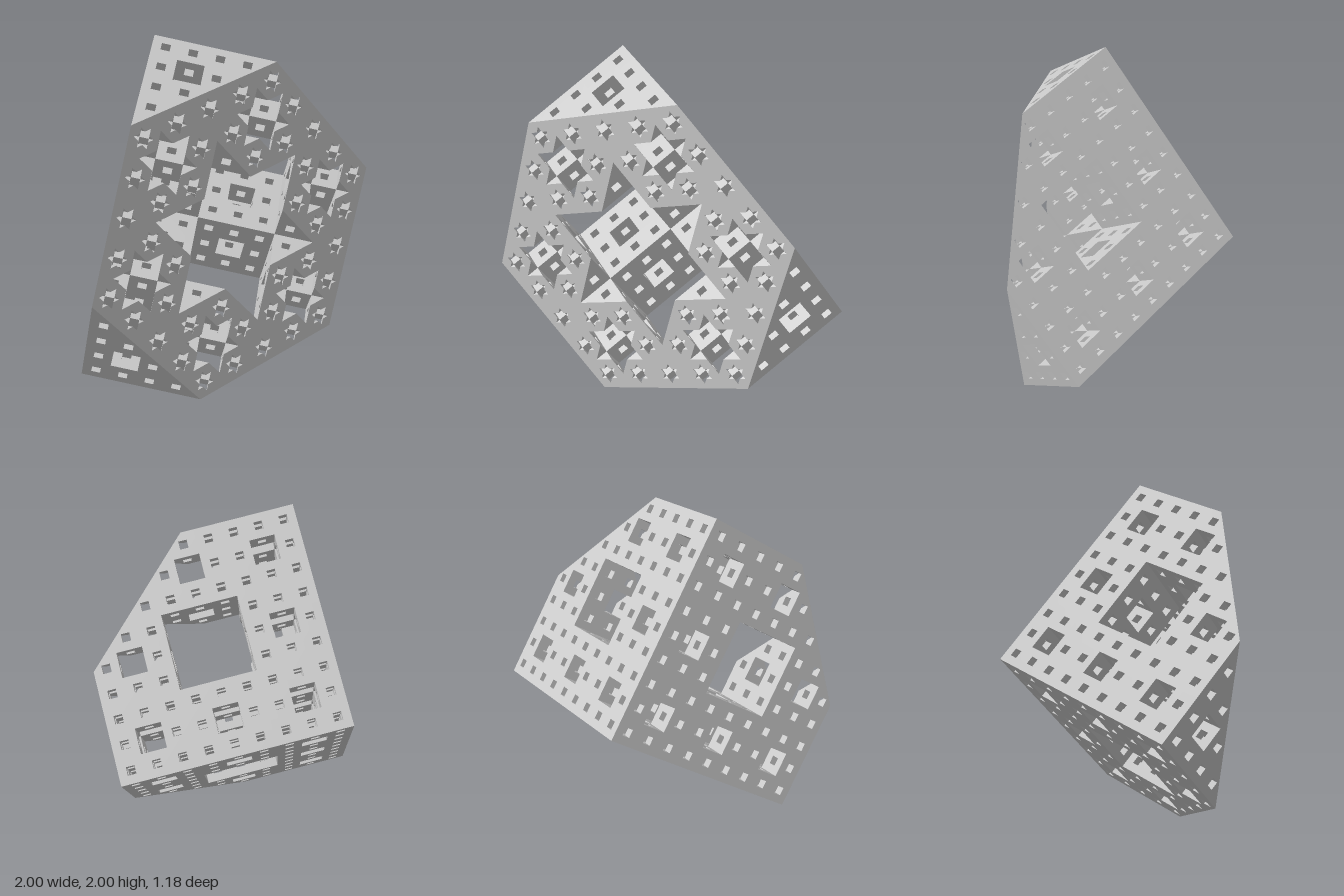
import * as THREE from 'three';

const N = 27;              // cells per cube edge (three subdivision levels)
const CUT = 1.5 * N;       // cells with x + y + z beyond this are sliced away
const EDGE = 2 / ((Math.SQRT1_2 + Math.sqrt(2 / 3)) * Math.cos(Math.PI / 12)); // cube edge length
const HALF_DEPTH = EDGE * Math.sqrt(3) / 4;

// A cell is a hole if, at any level, it is the middle one along two or more axes
function isSolid(cell) {
  if (cell.some((c) => c < 0 || c >= N)) return false;
  for (let s = 1; s < N; s *= 3) {
    if (cell.filter((c) => Math.floor(c / s) % 3 === 1).length > 1) return false;
  }
  return true;
}

// Cube axes spread round the z axis from the rear corner
const axes = [105, 225, 345].map((deg) => {
  const a = THREE.MathUtils.degToRad(deg), r = Math.sqrt(2 / 3);
  return new THREE.Vector3(r * Math.cos(a), r * Math.sin(a), 1 / Math.sqrt(3));
});
const rearCorner = new THREE.Vector3(
  EDGE * Math.SQRT1_2 * Math.cos(Math.PI / 12) - 1,
  EDGE * Math.SQRT1_2 * Math.cos(Math.PI / 12),
  -HALF_DEPTH
);
function toWorld(p) {
  const v = rearCorner.clone();
  axes.forEach((axis, i) => v.addScaledVector(axis, p[i] * EDGE / N));
  return v;
}

const side = (p) => p[0] + p[1] + p[2] - CUT;
function crossing(a, b) {
  const t = side(a) / (side(a) - side(b));
  return a.map((c, i) => c + (b[i] - c) * t);
}

// Keep the part of a polygon behind the slicing plane
function clip(poly) {
  const out = [];
  poly.forEach((a, i) => {
    const b = poly[(i + 1) % poly.length];
    if (side(a) < 0) out.push(a);
    if (side(a) < 0 !== side(b) < 0) out.push(crossing(a, b));
  });
  return out;
}

// One square face of a cell, wound to face outward
function cellFace(cell, d, dir) {
  const u = (d + 1) % 3, v = (d + 2) % 3;
  const quad = [[0, 0], [1, 0], [1, 1], [0, 1]].map(([a, b]) => {
    const p = [...cell];
    p[u] += a;
    p[v] += b;
    if (dir > 0) p[d] += 1;
    return p;
  });
  return dir > 0 ? quad : quad.reverse();
}

// Where the slicing plane passes through a cell, sorted anticlockwise
function cellSection(cell) {
  const pts = [];
  for (let d = 0; d < 3; d++) {
    for (const [a, b] of [[0, 0], [1, 0], [1, 1], [0, 1]]) {
      const p = [...cell];
      p[(d + 1) % 3] += a;
      p[(d + 2) % 3] += b;
      const q = [...p];
      q[d] += 1;
      if (side(p) < 0 !== side(q) < 0) pts.push(toWorld(crossing(p, q)));
    }
  }
  const mid = new THREE.Vector3();
  pts.forEach((p) => mid.addScaledVector(p, 1 / pts.length));
  const angle = (p) => Math.atan2(p.y - mid.y, p.x - mid.x);
  return pts.sort((p, q) => angle(p) - angle(q));
}

// Fan a convex polygon into triangles
function addPolygon(positions, poly) {
  for (let i = 1; i + 1 < poly.length; i++) {
    for (const p of [poly[0], poly[i], poly[i + 1]]) positions.push(p.x, p.y, p.z);
  }
}

function makeMesh(name, positions, material) {
  const geometry = new THREE.BufferGeometry();
  geometry.setAttribute('position', new THREE.Float32BufferAttribute(positions, 3));
  geometry.computeVertexNormals();
  const mesh = new THREE.Mesh(geometry, material);
  mesh.name = name;
  return mesh;
}

export function createModel() {
  const grey = new THREE.MeshStandardMaterial({ color: 0xcccccc });
  grey.name = 'light grey';
  const walls = [], section = [];

  for (let x = 0; x < N; x++) for (let y = 0; y < N; y++) for (let z = 0; z < N; z++) {
    const cell = [x, y, z];
    if (side(cell) > 0 || !isSolid(cell)) continue;
    // Outer faces and tunnel walls
    for (let d = 0; d < 3; d++) for (const dir of [-1, 1]) {
      const next = [...cell];
      next[d] += dir;
      if (!isSolid(next)) addPolygon(walls, clip(cellFace(cell, d, dir)).map(toWorld));
    }
    // Flat sliced face with its star-shaped openings
    if (side(cell) + 3 > 0) addPolygon(section, cellSection(cell));
  }

  const group = new THREE.Group();
  group.name = 'slicedFractalCube';
  group.add(makeMesh('cubeWalls', walls, grey), makeMesh('slicedFace', section, grey));
  return group;
}
